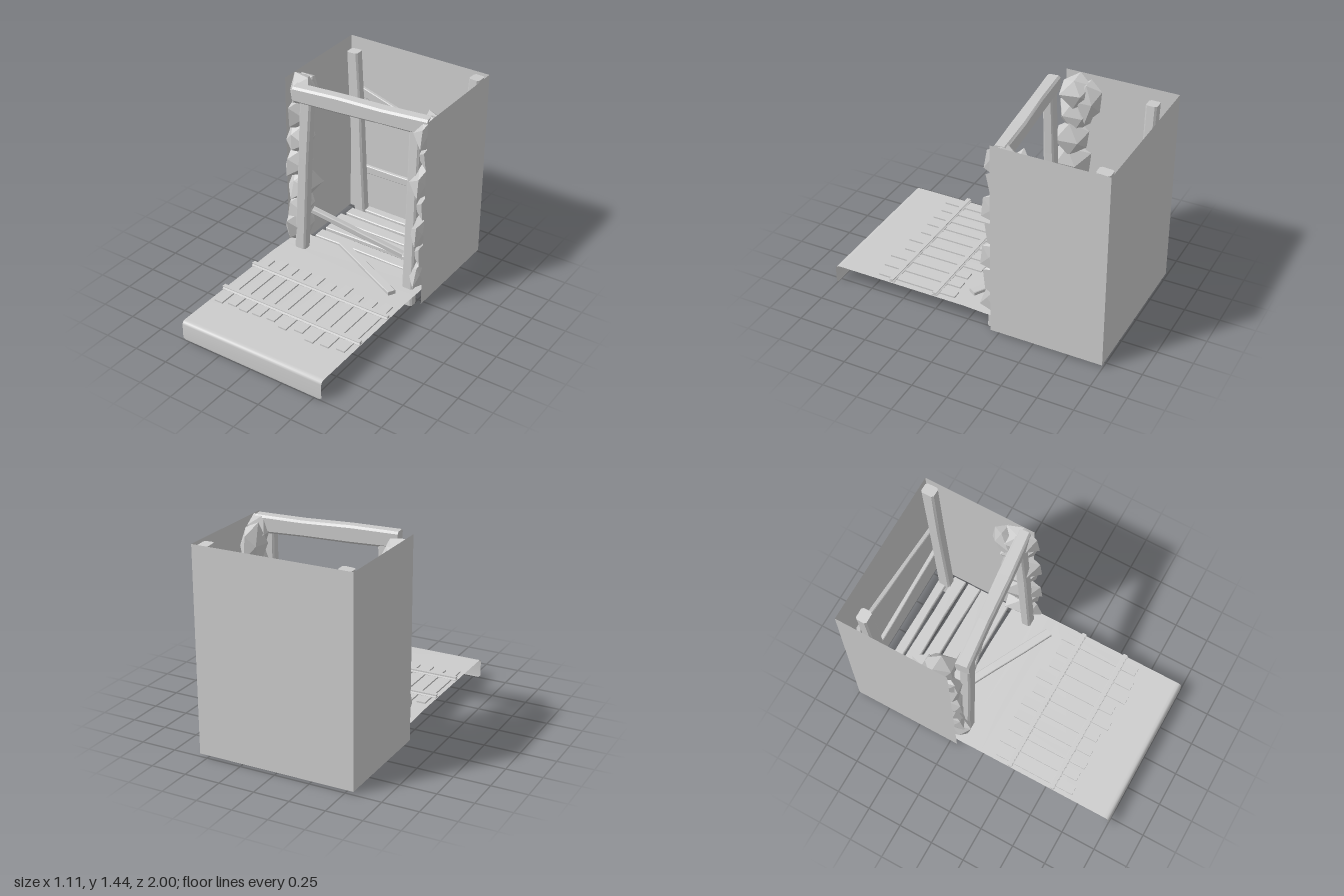
import * as THREE from 'three';

const V = (x, y, z) => new THREE.Vector3(x, y, z);
const flat = new THREE.MeshStandardMaterial({ color: 0xcccccc, flatShading: true });
const thin = new THREE.MeshStandardMaterial({ color: 0xcccccc, side: THREE.DoubleSide });

function seeded(seed) {
  return () => {
    seed = (seed * 16807) % 2147483647;
    return seed / 2147483647;
  };
}

function add(parent, name, geometry, material) {
  const mesh = new THREE.Mesh(geometry, material);
  mesh.name = name;
  parent.add(mesh);
  return mesh;
}

// Rough-hewn timber with chamfered edges, running from a to b
function beam(parent, name, a, b, w, h, up = V(0, 1, 0)) {
  const c = Math.min(w, h) * 0.16, x = w / 2, y = h / 2;
  const shape = new THREE.Shape([
    [x - c, -y], [x, -y + c], [x, y - c], [x - c, y],
    [c - x, y], [-x, y - c], [-x, c - y], [c - x, -y],
  ].map(([px, py]) => new THREE.Vector2(px, py)));
  const length = a.distanceTo(b);
  const geo = new THREE.ExtrudeGeometry(shape, { depth: length, steps: 3, bevelEnabled: false });
  const p = geo.attributes.position;
  for (let i = 0; i < p.count; i++) {
    const s = 1 + 0.06 * Math.sin(p.getZ(i) * 9 + a.x * 7 + a.z * 5);
    p.setXY(i, p.getX(i) * s, p.getY(i) * (2 - s));
  }
  geo.computeVertexNormals();
  const mesh = add(parent, name, geo, flat);
  mesh.up.copy(up);
  mesh.position.copy(a);
  mesh.lookAt(b);
}

// Faceted boulder, kept inside the side walls
function rock(parent, center, size, rand) {
  const geo = new THREE.IcosahedronGeometry(1, 0);
  const p = geo.attributes.position, scales = {};
  for (let i = 0; i < p.count; i++) {
    const key = [p.getX(i), p.getY(i), p.getZ(i)].map((n) => Math.round(n * 100)).join();
    scales[key] ??= 0.8 + 0.4 * rand();
    const v = V(p.getX(i), p.getY(i), p.getZ(i)).multiplyScalar(scales[key]).multiply(size).add(center);
    p.setXYZ(i, THREE.MathUtils.clamp(v.x, -0.552, 0.552), Math.min(v.y, 1.44), v.z);
  }
  geo.computeVertexNormals();
  add(parent, 'rock', geo, flat);
}

export function createModel() {
  const model = new THREE.Group();
  model.name = 'mineEntrance';

  // Shell: two sides and a back, open at the front, top and bottom
  const shell = new THREE.Group();
  shell.name = 'shell';
  model.add(shell);
  const back = add(shell, 'backWall', new THREE.PlaneGeometry(1.11, 1.415), thin);
  back.position.set(0, 0.7325, -0.995);
  back.rotation.y = Math.PI;
  for (const s of [-1, 1]) {
    const side = add(shell, 'sideWall', new THREE.PlaneGeometry(0.8, 1.415), thin);
    side.position.set(s * 0.555, 0.7325, -0.595);
    side.rotation.y = s * Math.PI / 2;
  }

  // Platform sheet with a rounded front lip, profile as [z, y, half width]
  const profile = [
    [-0.33, 0.143, 0.55], [-0.15, 0.147, 0.555], [0, 0.155, 0.555], [0.96, 0.155, 0.555],
    [0.98, 0.153, 0.555], [0.993, 0.147, 0.555], [1, 0.13, 0.555], [1, 0.025, 0.555], [0.998, 0.01, 0.54],
  ];
  const sheet = new THREE.PlaneGeometry(1, 1, 1, profile.length - 1);
  const sp = sheet.attributes.position;
  profile.forEach(([z, y, half], i) => {
    sp.setXYZ(i * 2, -half, y, z);
    sp.setXYZ(i * 2 + 1, half, y, z);
  });
  sheet.computeVertexNormals();
  add(model, 'platform', sheet, thin);

  // Track: sleepers as [x, start z, end z]
  const track = new THREE.Group();
  track.name = 'track';
  model.add(track);
  const sleepers = [
    [-0.49, 0.106, 0.70], [-0.39, 0.08, 0.68], [-0.29, 0.09, 0.69], [-0.19, 0.08, 0.68], [-0.08, 0.074, 0.67],
    [0.035, 0.106, 0.70], [0.145, 0.07, 0.67], [0.26, 0.116, 0.715], [0.37, 0.11, 0.70], [0.48, 0.095, 0.68],
  ];
  for (const [x, z0, z1] of sleepers) {
    add(track, 'sleeper', new THREE.BoxGeometry(0.064, 0.014, z1 - z0), flat)
      .position.set(x, 0.159, (z0 + z1) / 2);
  }

  // Rails with an I-shaped section
  const half = [[0.019, 0], [0.019, 0.004], [0.006, 0.009], [0.006, 0.014], [0.015, 0.018], [0.015, 0.023]];
  const section = [...half, ...half.map(([x, y]) => [-x, y]).reverse()];
  const railShape = new THREE.Shape(section.map(([x, y]) => new THREE.Vector2(x, y)));
  for (const z of [0.225, 0.555]) {
    const geo = new THREE.ExtrudeGeometry(railShape, { depth: 1.11, bevelEnabled: false });
    const rail = add(track, 'rail', geo, flat);
    rail.rotation.y = Math.PI / 2;
    rail.position.set(-0.555, 0.163, z);
  }

  // Timber frame
  const frame = new THREE.Group();
  frame.name = 'timberFrame';
  model.add(frame);
  const zUp = V(0, 0, 1);
  beam(frame, 'frontPost', V(-0.43, 0.01, -0.18), V(-0.355, 1.34, -0.17), 0.085, 0.075, zUp);
  beam(frame, 'frontPost', V(0.465, 0.01, -0.18), V(0.45, 1.34, -0.24), 0.08, 0.07, zUp);
  beam(frame, 'rearPost', V(-0.36, 0.01, -0.86), V(-0.44, 1.40, -0.86), 0.09, 0.075, zUp);
  beam(frame, 'rearPost', V(0.45, 0.01, -0.85), V(0.495, 1.43, -0.93), 0.08, 0.09, zUp);
  beam(frame, 'lintel', V(-0.445, 1.382, -0.155), V(0.535, 1.38, -0.255), 0.09, 0.115);
  beam(frame, 'backBrace', V(-0.45, 1.07, -0.935), V(0.51, 0.77, -0.97), 0.03, 0.065);
  beam(frame, 'backBrace', V(-0.44, 0.42, -0.945), V(0.51, 0.415, -0.965), 0.03, 0.06);
  // Side braces between front and rear posts
  beam(frame, 'fallenPlank', V(-0.37, 0.44, -0.235), V(0.26, 0.19, -0.43), 0.05, 0.04);
  beam(frame, 'loosePlank', V(-0.18, 0.17, -0.33), V(0.44, 0.19, 0), 0.06, 0.028);

  // Floor boards as [z, width, left end]
  const boards = [
    [-0.87, 0.065, -0.40], [-0.775, 0.09, -0.42], [-0.665, 0.095, -0.45],
    [-0.535, 0.11, -0.43], [-0.41, 0.09, -0.44], [-0.30, 0.09, -0.42],
  ];
  boards.forEach(([z, w, x], i) => {
    const tilt = 0.008 * (i % 3);
    beam(frame, 'floorBoard', V(x, 0.117 - tilt / 2, z - 0.004), V(0.51, 0.112, z + tilt - 0.006), w, 0.035);
  });

  // Rocks lining both sides of the entrance
  const rocks = new THREE.Group();
  rocks.name = 'rocks';
  model.add(rocks);
  const rand = seeded(41);
  for (const s of [-1, 1]) {
    const heights = [0.28, 0.42, 0.60, 0.78, 0.97, 1.15, 1.33];
    heights.forEach((y, i) => {
      const inset = s < 0 ? 0.5 : 0.535;
      const center = V(s * (inset + 0.02 * (i % 2)), y, -0.255 - 0.05 * rand());
      const size = V(0.1 + 0.03 * rand(), 0.12 + 0.02 * rand(), 0.13 + 0.03 * rand());
      rock(rocks, center, size, rand);
    });
    // Larger boulder behind the top of the column
    rock(rocks, V(s * 0.51, 1.27, -0.38), V(0.09, 0.15, 0.11), rand);
  }
  return model;
}
